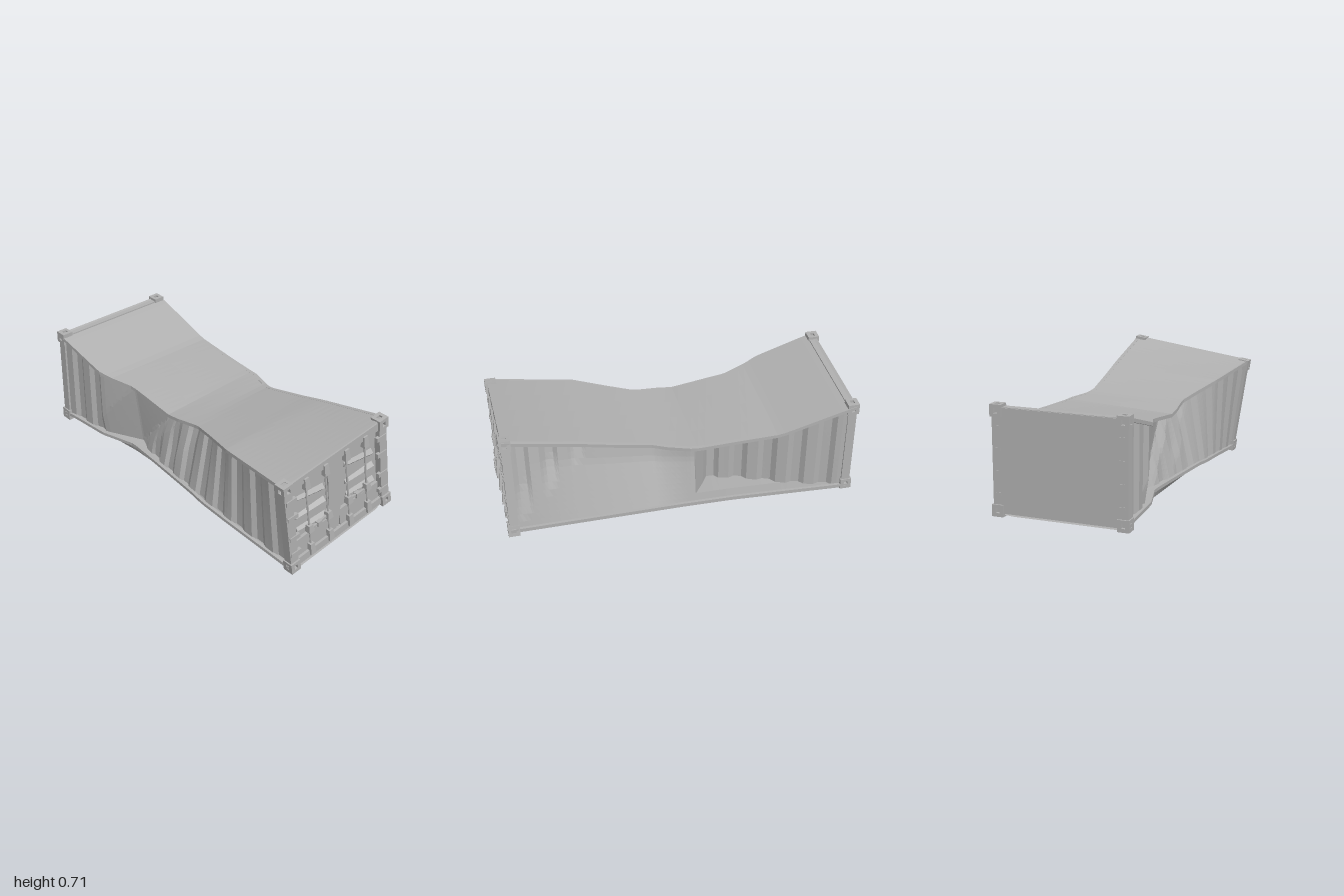
import * as THREE from 'three';

const steel = new THREE.MeshStandardMaterial({ color: 0xb0b0b0, flatShading: true, side: THREE.DoubleSide });
steel.name = 'grey steel';

// Piecewise-linear lookup through [x, value] keys
function at(keys, x) {
  if (x <= keys[0][0]) return keys[0][1];
  for (let i = 1; i < keys.length; i++) {
    const [a, va] = keys[i - 1], [b, vb] = keys[i];
    if (x <= b) return va + (vb - va) * (x - a) / (b - a);
  }
  return keys[keys.length - 1][1];
}
const mix = (a, b, t) => a + (b - a) * t;

// The four long edges of the crushed body, as [y, z] along x
const topFront = x => [
  at([[-1, .64], [-.9, .615], [-.55, .512], [-.3, .482], [-.08, .452], [.15, .482], [.5, .545], [1, .587]], x),
  at([[-1, .375], [-.62, .355], [-.4, .275], [0, .268], [.15, .25], [.3, .29], [.5, .35], [1, .41]], x)];
const topBack = x => [
  at([[-1, .64], [-.9, .615], [-.55, .512], [-.1, .487], [.1, .493], [.4, .56], [.55, .598], [1, .695]], x),
  at([[-1, -.378], [-.62, -.372], [-.3, -.358], [-.05, -.352], [.15, -.29], [.55, -.31], [1, -.33]], x)];
const lowFront = x => [
  at([[-1, .085], [-.9, .1], [.2, .105], [.5, .085], [1, .025]], x),
  at([[-1, .375], [-.62, .35], [-.4, .288], [-.2, .305], [.3, .355], [.5, .355], [1, .325]], x)];
const lowBack = x => [
  at([[-1, .075], [0, .1], [1, .15]], x),
  at([[-1, -.375], [-.3, -.355], [0, -.358], [1, -.415]], x)];
const floorFront = x => [mix(.063, .012, (x + 1) / 2), at([[-1, .335], [-.65, .3], [-.4, .272], [1, .25]], x)];
const floorBack = x => [mix(.063, .1, (x + 1) / 2), lowBack(x)[1] + .1];

// Grid surface over x stations: fn(x, v, i) gives [y, z]
function sheet(name, fn, stations, nv) {
  const pos = [], idx = [];
  stations.forEach((x, i) => {
    for (let j = 0; j <= nv; j++) {
      pos.push(x, ...fn(x, j / nv, i));
      if (i < stations.length - 1 && j < nv) {
        const a = i * (nv + 1) + j, b = a + nv + 1;
        idx.push(a, b, b + 1, a, b + 1, a + 1);
      }
    }
  });
  const g = new THREE.BufferGeometry();
  g.setAttribute('position', new THREE.Float32BufferAttribute(pos, 3));
  g.setIndex(idx);
  g.computeVertexNormals();
  return named(name, g);
}
const even = Array.from({ length: 49 }, (_, i) => mix(-.985, .985, i / 48));
// Rib stations: twelve ribs with lands and sloped flanks
const ribbed = Array.from({ length: 97 }, (_, i) =>
  mix(-.945, .945, (Math.floor(i / 8) + [0, .18, .36, .43, .5, .64, .78, .89][i % 8]) / 12));
const wave = i => [0, 0, 0, .5, 1, 1, 1, .5][i % 8];

function named(name, geometry) {
  const m = new THREE.Mesh(geometry, steel);
  m.name = name;
  return m;
}
function box(parent, name, sx, sy, sz, x, y, z) {
  const m = named(name, new THREE.BoxGeometry(sx, sy, sz));
  m.position.set(x, y, z);
  parent.add(m);
  return m;
}
const between = (a, b) => (x, v) => {
  const p = a(x), q = b(x);
  return [mix(p[0], q[0], v), mix(p[1], q[1], v)];
};
// Square rail swept along one edge
function rail(name, edge, h, w) {
  const ring = [[-1, -1], [1, -1], [1, 1], [-1, 1], [-1, -1]];
  return sheet(name, (x, v) => {
    const [y, z] = edge(x), c = ring[Math.round(v * 4)];
    return [y + c[0] * h / 2, z + c[1] * w / 2];
  }, even, 4);
}

// Front wall: slanted valley, ribs fading out around it
function frontWall(x, v, i) {
  const [y, z] = between(lowFront, topFront)(x, v);
  const s = x - (-.4 + .32 * v);
  const dent = at([[-.32, 0], [0, .065], [.08, .03], [.3, 0]], s);
  const ribs = x < -.58 ? at([[-.64, 1], [-.58, 0]], x) : at([[.02, 0], [.22, 1]], s);
  return [y, z - .006 - dent - .02 * ribs * wave(i)];
}
// Back wall: deep ribbed pocket, leaning flat panel, ribbed corner triangle
function backWall(x, v, i) {
  const [y, z] = between(lowBack, topBack)(x, v);
  const pocket = at([[-.92, 0], [-.65, .06], [-.4, .15], [-.19, .2], [-.08, .05], [.1, .05], [.6, .04], [.92, 0]], x);
  const dent = x > -.08 ? pocket * Math.min(1, v * 1.4) : pocket;
  const ribs = Math.max(at([[-.24, 1], [-.14, 0]], x), at([[-.04, 0], [.16, 1]], x - (1 - .55 * v)));
  return [y, z + .006 + dent + .022 * ribs * wave(i)];
}

// Corner casting: solid core with a slotted plate on each outward face
function casting(parent, x, y, z) {
  const g = new THREE.Group(), size = .065, t = .02, h = size / 2;
  g.name = 'cornerCasting';
  const sign = [Math.sign(x), Math.sign(y), Math.sign(z)];
  box(g, 'castingCore', size - t, size - t, size - t, ...sign.map(s => -s * t / 2));
  const square = (a, b) => [[-a, -b], [a, -b], [a, b], [-a, b]].map(p => new THREE.Vector2(...p));
  const shape = new THREE.Shape(square(h, h));
  shape.holes.push(new THREE.Path(square(.011, .015).reverse()));
  const geo = new THREE.ExtrudeGeometry(shape, { depth: t, bevelEnabled: false });
  geo.translate(0, 0, -t / 2);
  ['x', 'y', 'z'].forEach((axis, k) => {
    const p = named('castingPlate', geo);
    if (axis === 'x') p.rotation.y = Math.PI / 2;
    if (axis === 'y') p.rotation.x = Math.PI / 2;
    p.position[axis] = sign[k] * (h - t / 2);
    g.add(p);
  });
  g.position.set(x, y, z);
  parent.add(g);
}
// End frame with castings, posts and cross rails
function endFrame(name, side, y, tilt) {
  const g = new THREE.Group();
  g.name = name;
  for (const sz of [-1, 1]) {
    for (const sy of [-1, 1]) casting(g, side * .9675, sy * .2675, sz * .352);
    box(g, 'cornerPost', .05, .5, .055, side * .965, 0, sz * .35);
  }
  box(g, 'headerRail', .045, .05, .66, side * .9625, .26, 0);
  box(g, 'sillRail', .045, .045, .66, side * .9625, -.262, 0);
  g.position.y = y;
  g.rotation.x = tilt;
  return g;
}

export function createModel() {
  const model = new THREE.Group();
  model.name = 'crushedContainer';

  // Body shell
  model.add(
    sheet('roof', (x, v) => {
      const [y, z] = between(topFront, topBack)(x, v);
      return [y + .01, z];
    }, even, 4),
    sheet('frontWall', frontWall, ribbed, 12),
    sheet('backWall', backWall, ribbed, 12),
    sheet('floor', between(floorFront, floorBack), even, 2),
    sheet('frontFloorSkirt', between(lowFront, floorFront), even, 1),
    sheet('backFloorSkirt', between(floorBack, lowBack), even, 1),
    rail('frontTopRail', topFront, .02, .022),
    rail('backTopRail', topBack, .02, .022),
    rail('frontBottomRail', lowFront, .018, .02),
    rail('backBottomRail', lowBack, .022, .016));

  // Blank end, flush with its frame
  const blank = endFrame('blankEnd', -1, .3575, 0);
  box(blank, 'endPanel', .02, .565, .66, -.98, 0, 0);
  for (const s of [-1, 1]) {
    for (const v of [.18, .06, -.06, -.18]) box(blank, 'edgeTab', .01, .02, .03, -.989, v, s * .345);
  }
  model.add(blank);

  // Door end, twisted about the long axis
  const doors = endFrame('doorEnd', 1, .355, .15);
  box(doors, 'doorBacking', .015, .5, .66, .945, 0, 0);

  // Buckled metal where the two doors meet
  const outline = [[.06, .24], [-.03, .24], [-.06, .06], [-.03, -.08], [0, -.24], [.03, -.22], [.06, -.07], [.05, .1]];
  const seamGeo = new THREE.ExtrudeGeometry(
    new THREE.Shape(outline.map(([u, v]) => new THREE.Vector2(-u, v))), { depth: .018, bevelEnabled: false });
  seamGeo.rotateY(Math.PI / 2);
  const seam = named('buckledSeam', seamGeo);
  seam.position.x = .952;
  doors.add(seam);

  for (const s of [-1, 1]) {
    // Door leaf edges and bent ledges
    box(doors, 'doorTopEdge', .02, .05, .3, .96, .215, s * .165);
    box(doors, 'doorBottomEdge', .02, .11, .3, .96, -.185, s * .165);
    [.115, .01, -.085].forEach((v, k) => {
      const ledge = named('doorLedge', new THREE.CylinderGeometry(.018, .026, .21, 4));
      ledge.rotation.x = Math.PI / 2 - [.2, .05, .12][k];
      ledge.scale.x = .9;
      ledge.position.set(.95, v, s * .185);
      doors.add(ledge);
    });
    // Locking rods with brackets
    for (const u of [.077, .218]) {
      const rod = named('lockRod', new THREE.CylinderGeometry(.006, .006, .48, 6));
      rod.position.set(.98, 0, s * u);
      doors.add(rod);
      for (const v of [.228, -.088, -.232]) {
        const b = named('rodBracket', new THREE.CylinderGeometry(.02, .026, v === -.088 ? .045 : .07, 4));
        b.rotation.y = Math.PI / 4;
        b.position.set(.981, v, s * u);
        doors.add(b);
      }
    }
    // Handle and latch
    box(doors, 'handle', .012, .014, .13, .978, -.1, s * .148).rotation.x = s * .1;
    box(doors, 'latch', .025, .03, .03, .978, -.103, s * .148);
    // Hinges
    for (const v of [.18, .07, -.07, -.18]) box(doors, 'hinge', .02, .026, .07, .986, v, s * .335).rotation.x = -.05;
  }
  model.add(doors);
  return model;
}
